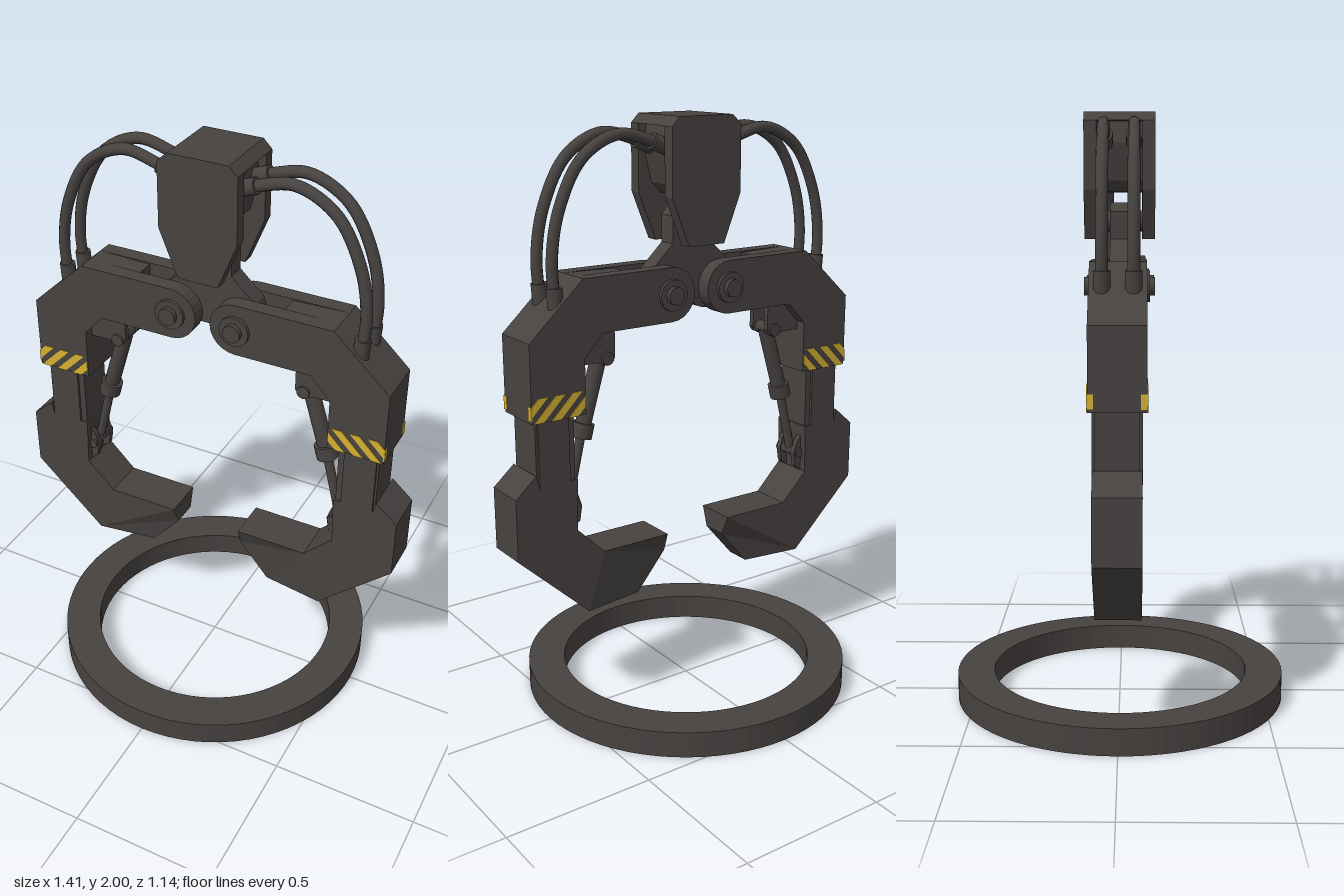
import * as THREE from 'three';

const V = (x, y, z) => new THREE.Vector3(x, y, z);

export function createModel() {
  const root = new THREE.Group();
  root.name = 'grabber';
  const dark = new THREE.MeshStandardMaterial({ color: 0x464240 });
  dark.name = 'dark metal';
  const yellow = new THREE.MeshStandardMaterial({ color: 0xd6b032 });
  yellow.name = 'warning yellow';

  const add = (parent, name, geo, mat = dark) => {
    const m = new THREE.Mesh(geo, mat);
    m.name = name;
    parent.add(m);
    return m;
  };
  // Flat profile in x/y, extruded from z0 to z1; s mirrors x
  const slab = (pts, z0, z1, s = 1) => {
    const shape = new THREE.Shape(pts.map(([x, y]) => new THREE.Vector2(x * s, y)));
    const g = new THREE.ExtrudeGeometry(shape, { depth: z1 - z0, bevelEnabled: false });
    return g.translate(0, 0, z0);
  };
  const box = (x0, x1, y0, y1, z0, z1, s = 1) =>
    new THREE.BoxGeometry(x1 - x0, y1 - y0, z1 - z0)
      .translate(s * (x0 + x1) / 2, (y0 + y1) / 2, (z0 + z1) / 2);
  // Cylinder between two points
  const rod = (a, b, r0, r1 = r0, sides = 16) => {
    const d = b.clone().sub(a);
    const g = new THREE.CylinderGeometry(r1, r0, d.length(), sides);
    g.applyQuaternion(new THREE.Quaternion().setFromUnitVectors(V(0, 1, 0), d.normalize()));
    return g.translate((a.x + b.x) / 2, (a.y + b.y) / 2, (a.z + b.z) / 2);
  };
  const pinZ = (x, y, z, r) => rod(V(x, y, -z), V(x, y, z), r, r, 20);
  // Keep the part of a polygon on one side of a vertical line
  const clip = (pts, x, sign) => {
    const out = [];
    pts.forEach((p, i) => {
      const q = pts[(i + 1) % pts.length];
      const a = (p[0] - x) * sign, b = (q[0] - x) * sign;
      if (a >= 0) out.push(p);
      if (a * b < 0) out.push([x, p[1] + (q[1] - p[1]) * a / (a - b)]);
    });
    return out;
  };

  // Ground ring
  const ring = new THREE.Shape().absarc(0, 0, 0.57, 0, Math.PI * 2, false);
  ring.holes.push(new THREE.Path().absarc(0, 0, 0.443, 0, Math.PI * 2, true));
  add(root, 'ground ring', new THREE.ExtrudeGeometry(ring, { depth: 0.09, bevelEnabled: false, curveSegments: 36 })
    .rotateX(-Math.PI / 2));

  // Head: two cheek plates, a core, a cap and the hanging neck bracket
  const head = new THREE.Group();
  head.name = 'head';
  root.add(head);
  const cheek = [[-0.1, 2], [0.105, 2], [0.135, 1.97], [0.135, 1.75], [0.07, 1.59], [-0.07, 1.59], [-0.135, 1.75], [-0.135, 1.97]];
  add(head, 'front cheek plate', slab(cheek, 0.075, 0.117));
  add(head, 'back cheek plate', slab(cheek, -0.117, -0.075));
  add(head, 'head cap', slab([[-0.1, 2], [0.105, 2], [0.135, 1.97], [-0.135, 1.97]], -0.076, 0.076));
  add(head, 'head core', slab([[-0.1, 1.98], [0.1, 1.98], [0.115, 1.9], [0.085, 1.78], [0.05, 1.745], [-0.05, 1.745], [-0.085, 1.78], [-0.115, 1.9]], -0.076, 0.076));
  add(head, 'neck pin', pinZ(0, 1.65, 0.08, 0.035));
  add(head, 'neck bracket', slab([[-0.05, 1.71], [0.05, 1.71], [0.075, 1.68], [0.075, 1.59], [0.16, 1.51], [0.18, 1.43], [0.12, 1.38],
    [0.03, 1.4], [-0.03, 1.4], [-0.12, 1.38], [-0.18, 1.43], [-0.16, 1.51], [-0.075, 1.59], [-0.075, 1.68]], -0.032, 0.032));

  for (const s of [1, -1]) {
    const arm = new THREE.Group();
    arm.name = s > 0 ? 'left arm' : 'right arm';
    root.add(arm);

    // Upper arm: forked at the shoulder with a rounded knuckle
    const knuckle = [];
    for (let i = 0; i <= 12; i++) {
      const a = Math.PI * (0.5 + i / 12);
      knuckle.push([0.116 + 0.09 * Math.cos(a), 1.435 + 0.09 * Math.sin(a)]);
    }
    const outer = [[0.38, 1.345], [0.45, 1.27], [0.45, 1.09], [0.645, 1.09], [0.645, 1.345], [0.45, 1.525]];
    add(arm, 'upper arm front plate', slab([...knuckle, ...outer], 0.035, 0.088, s));
    add(arm, 'upper arm back plate', slab([...knuckle, ...outer], -0.088, -0.035, s));
    add(arm, 'upper arm core', slab([[0.26, 1.52], [0.26, 1.35], ...outer], -0.036, 0.036, s));

    // Shoulder pivot with washer and bolt head
    add(arm, 'shoulder washer', pinZ(s * 0.116, 1.435, 0.1, 0.052));
    add(arm, 'shoulder bolt', pinZ(s * 0.116, 1.435, 0.117, 0.03));

    // Slanted warning stripes on both faces and the outer corners
    for (let i = -1; i < 4; i++) {
      const x = 0.463 + i * 0.062, y0 = 1.09, y1 = 1.17;
      let p = [[x, y1], [x + 0.034, y1], [x + 0.114, y0], [x + 0.08, y0]];
      p = clip(clip(p, 0.452, 1), 0.645, -1);
      if (p.length < 3) continue;
      add(arm, 'front warning stripe', slab(p, 0.087, 0.091, s), yellow);
      add(arm, 'back warning stripe', slab(p, -0.091, -0.087, s), yellow);
    }
    for (const z of [-0.08, 0.08])
      add(arm, 'corner warning mark', box(0.643, 0.648, 1.1, 1.145, z - 0.01, z + 0.01, s), yellow);

    // Forearm link with raised panels
    add(arm, 'forearm link', box(0.485, 0.625, 0.86, 1.12, -0.067, 0.067, s));
    add(arm, 'forearm panel', box(0.507, 0.618, 0.87, 1.1, -0.076, 0.076, s));

    // Claw with a tapering tip
    add(arm, 'claw', slab([[0.48, 0.875], [0.62, 0.875], [0.63, 0.915], [0.705, 0.85], [0.705, 0.64], [0.45, 0.4],
      [0.385, 0.6], [0.485, 0.7]], -0.075, 0.075, s));
    const tip = slab([[0.385, 0.6], [0.13, 0.6], [0.125, 0.53], [0.235, 0.4], [0.45, 0.4]], -0.075, 0.075, s);
    const pos = tip.attributes.position;
    for (let i = 0; i < pos.count; i++)
      if (Math.abs(pos.getX(i)) < 0.3 && pos.getY(i) < 0.56) pos.setZ(i, pos.getZ(i) * 0.6);
    tip.computeVertexNormals();
    add(arm, 'claw tip', tip);

    // Piston between the elbow lug and the claw lug
    const top = V(s * 0.345, 1.25, 0), mid = V(s * 0.417, 1.01, 0), low = V(s * 0.475, 0.77, 0);
    for (const z of [-0.04, 0.04]) {
      add(arm, 'elbow lug', slab([[0.315, 1.35], [0.315, 1.25], [0.345, 1.225], [0.385, 1.24], [0.46, 1.24], [0.46, 1.35]], z - 0.01, z + 0.01, s));
      add(arm, 'claw lug', slab([[0.5, 0.86], [0.465, 0.81], [0.452, 0.77], [0.46, 0.72], [0.5, 0.69]], z - 0.01, z + 0.01, s));
    }
    add(arm, 'upper piston pin', pinZ(top.x, top.y, 0.058, 0.022));
    add(arm, 'lower piston pin', pinZ(low.x, low.y, 0.058, 0.018));
    add(arm, 'piston barrel', rod(top, mid, 0.027));
    add(arm, 'piston collar', rod(mid.clone().lerp(top, 0.1), mid.clone().lerp(low, 0.1), 0.038));
    add(arm, 'piston rod', rod(mid, low, 0.016));

    // Pair of hoses from head to elbow with end fittings
    for (const z of [-0.048, 0.048]) {
      const path = [[0.1, 1.9], [0.17, 1.925], [0.29, 1.95], [0.42, 1.885], [0.505, 1.735], [0.535, 1.58], [0.525, 1.42]]
        .map(([x, y]) => V(s * x, y, z));
      add(arm, 'hose', new THREE.TubeGeometry(new THREE.CatmullRomCurve3(path), 40, 0.019, 10));
      add(arm, 'hose head fitting', rod(V(s * 0.1, 1.9, z), V(s * 0.165, 1.924, z), 0.027));
      add(arm, 'hose elbow fitting', rod(V(s * 0.525, 1.42, z), V(s * 0.53, 1.5, z), 0.026));
    }
  }
  return root;
}
